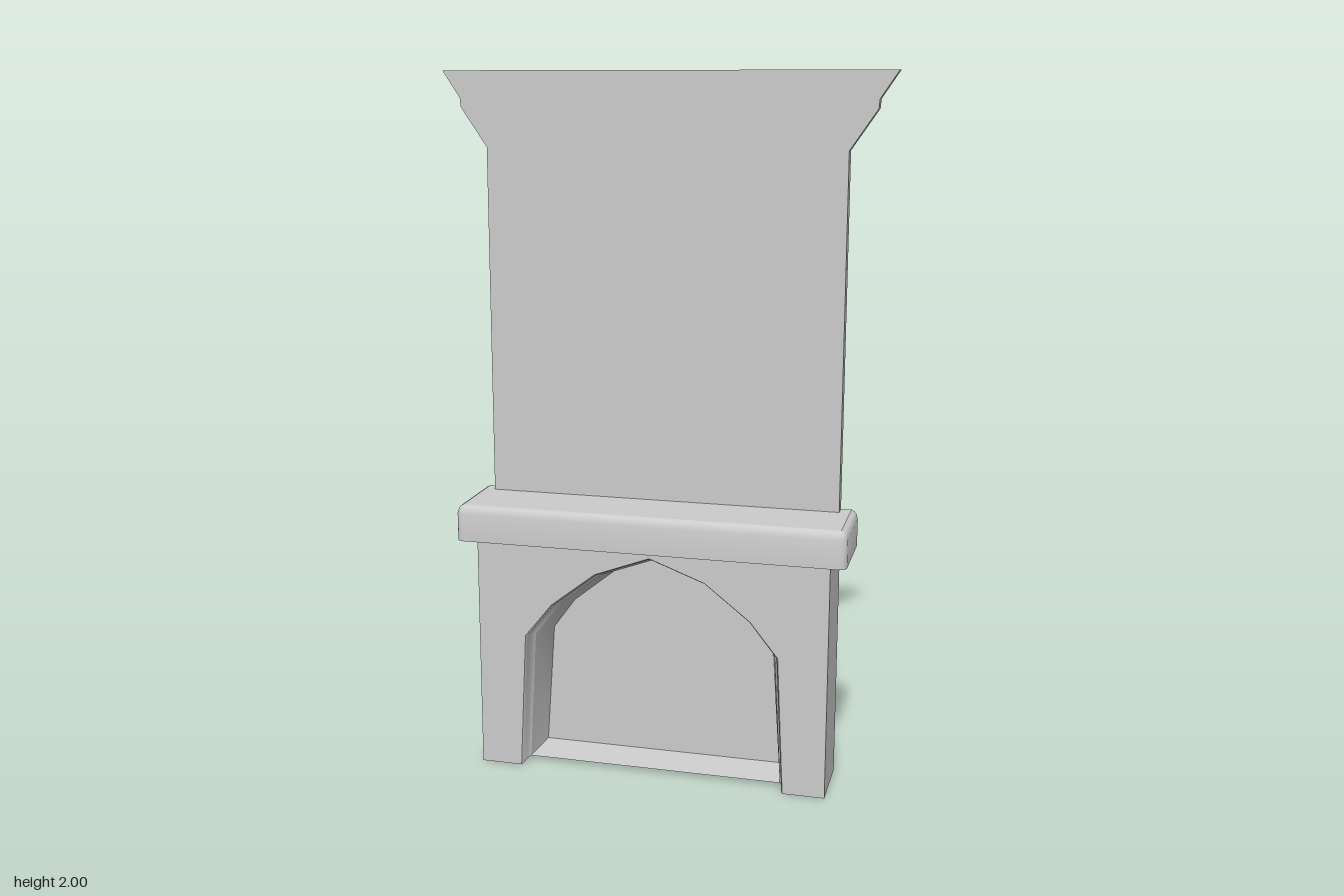
import * as THREE from 'three';
import { toCreasedNormals } from 'three/addons/utils/BufferGeometryUtils.js';

const BACK = -0.117;   // rear plane of every part
const FRONT = 0.075;   // face of the surround
const material = new THREE.MeshStandardMaterial({ color: 0xcccccc, side: THREE.DoubleSide });

// Skin a list of rows, each a list of [x, y, z] points
function loft(rows, crease = 0.6) {
  const n = rows[0].length, index = [];
  for (let i = 0; i < rows.length - 1; i++) {
    for (let j = 0; j < n - 1; j++) {
      const a = i * n + j, b = a + n;
      index.push(a, b, a + 1, b, b + 1, a + 1);
    }
  }
  const g = new THREE.BufferGeometry();
  g.setAttribute('position', new THREE.Float32BufferAttribute(rows.flat(2), 3));
  g.setIndex(index);
  return toCreasedNormals(g, crease);
}

const atZ = (pts, z) => pts.map(([x, y]) => [x, y, z]);

// Complete a right-hand outline with its mirror image (ends of the half meet on x = 0)
const mirror = (half) => [...half, ...half.filter(p => p[0] > 0).reverse().map(([x, y]) => [-x, y])];

// Flat face filling an outline
function face(pts, z) {
  const shape = new THREE.Shape(pts.map(([x, y]) => new THREE.Vector2(x, y)));
  return new THREE.ShapeGeometry(shape).translate(0, 0, z);
}

function part(name, ...geometries) {
  const group = new THREE.Group();
  group.name = name;
  geometries.forEach((g, i) => {
    const mesh = new THREE.Mesh(g, material);
    mesh.name = geometries.length > 1 ? `${name}${i + 1}` : name;
    group.add(mesh);
  });
  return group;
}

export function createModel() {
  const model = new THREE.Group();
  model.name = 'fireplace';

  // Pointed arch: outline at the face and at the back of the firebox
  const archOuter = mirror([[0.39, 0], [0.37, 0.405], [0.29, 0.505], [0.16, 0.607], [0, 0.667]]);
  const archInner = mirror([[0.355, 0.025], [0.33, 0.385], [0.265, 0.475], [0.145, 0.572], [0, 0.625]]);
  const archAt = (t, z) => archOuter.map(([x, y], i) => [
    THREE.MathUtils.lerp(x, archInner[i][0], t), THREE.MathUtils.lerp(y, archInner[i][1], t), z,
  ]).reverse();

  // Surround: face with arched opening, plus two side walls, open behind
  const W = 0.51, H = 0.69;
  const surroundFace = face([[W, 0], [W, H], [-W, H], [-W, 0], ...[...archOuter].reverse()], FRONT);
  const wall = (pts) => loft([atZ(pts, FRONT), atZ(pts, BACK)]);
  model.add(part('surround', surroundFace));
  model.add(part('sideWalls', wall([[W, 0], [W, H]]), wall([[-W, H], [-W, 0]])));

  // Firebox: softened lip, small step, then a tapering tunnel to the back plate
  const rows = [[0, FRONT], [0.12, 0.066], [0.18, 0.04], [0.42, 0.03], [1, -0.073]].map(([t, z]) => archAt(t, z));
  model.add(part('archLip', loft(rows.slice(0, 4), 1)));
  model.add(part('fireboxTunnel', loft(rows.slice(3))));
  const ends = (row) => [row[row.length - 1], row[0]];
  model.add(part('hearthFloor', loft([ends(rows[3]), ends(rows[4])])));
  model.add(part('firebackPlate', face(archInner, -0.073)));

  // Mantel: hollow shelf with rounded upper edge, open behind
  const MW = 0.558, MZ = 0.117;
  const shelfRow = (inset, y) => {
    const r = Math.max(0.02 - inset, 0), cx = MW - inset - r, cz = MZ - inset - r;
    const row = [[MW - inset, y, BACK]];
    for (let i = 0; i <= 4; i++) {
      const a = i * Math.PI / 8;
      row.push([cx + r * Math.cos(a), y, cz + r * Math.sin(a)]);
    }
    return [...row, ...row.map(([x, yy, z]) => [-x, yy, z]).reverse()];
  };
  const rim = loft([[0, H], [0, 0.77], [0.004, 0.783], [0.009, 0.79], [0.018, 0.795]]
    .map(([inset, y]) => shelfRow(inset, y)), 0.9);
  const ledge = loft([shelfRow(0.045, H), shelfRow(0, H)]);
  const top = new THREE.PlaneGeometry(2 * (MW - 0.018), MZ - 0.018 - BACK)
    .rotateX(-Math.PI / 2).translate(0, 0.795, (MZ - 0.018 + BACK) / 2);
  model.add(part('mantel', rim, ledge, top));

  // Chimney breast: thin hollow panel flaring into a stepped crown
  const half = [[W, 0.79], [W, 1.79], [0.585, 1.9], [0.587, 1.925], [0.637, 2]];
  const outline = mirror(half);
  model.add(part('chimneyBreast', face(outline, -0.079),
    loft([atZ(outline, -0.079), atZ(outline, BACK)], 0.3)));

  return model;
}
